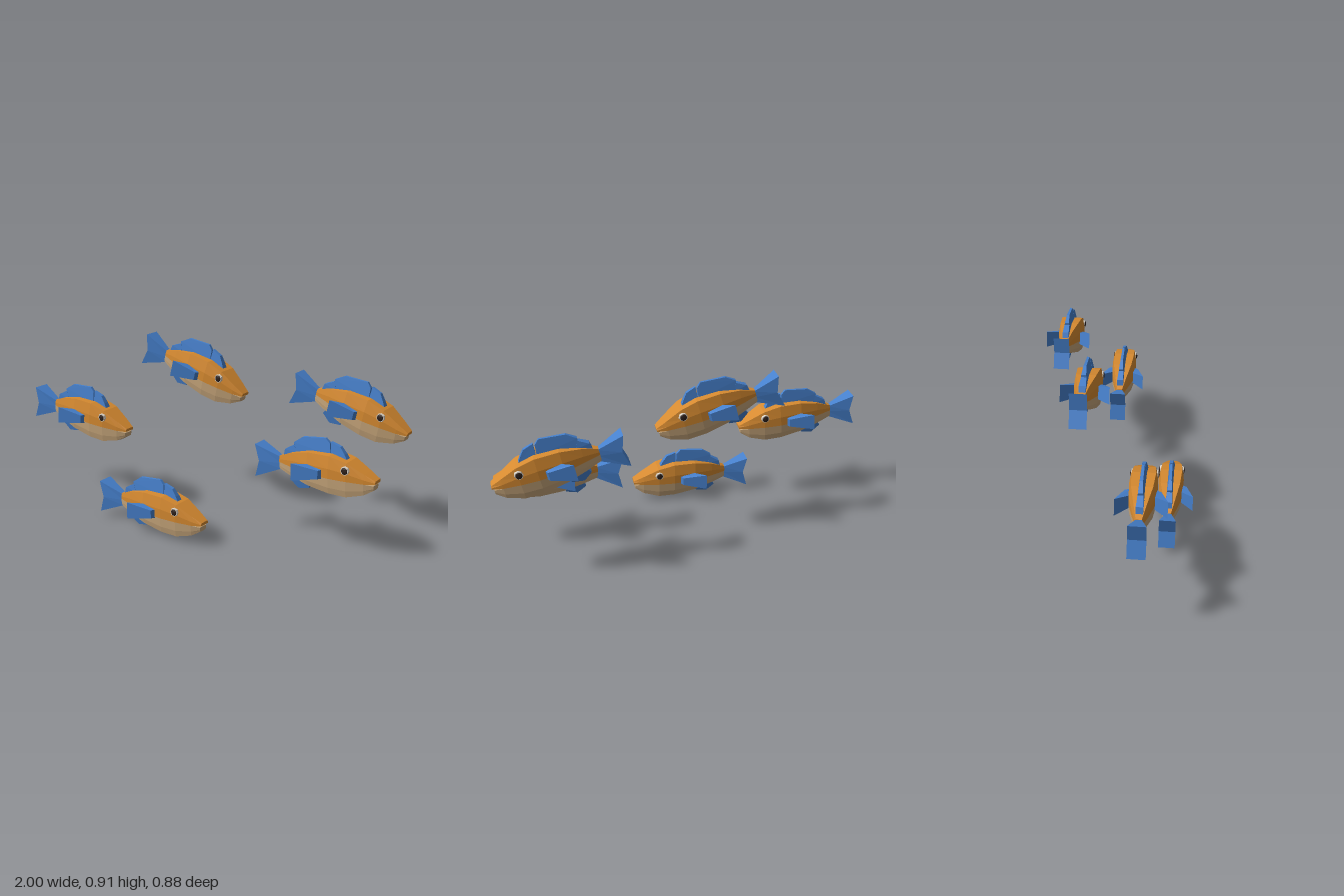
import * as THREE from 'three';

const mat = (color) => new THREE.MeshStandardMaterial({ color, flatShading: true });
const ORANGE = mat(0xd68a30), TAN = mat(0xc6a57a), BLUE = mat(0x4680cc);
const WHITE = mat(0xd8d0c4), DARK = mat(0x2e211c);

function add(group, name, geometry, material) {
  const mesh = new THREE.Mesh(geometry, material);
  mesh.name = name;
  group.add(mesh);
  return mesh;
}

// Faceted closed solid through rings of [x, y, z] that run along +x
function loft(rings) {
  const out = [];
  const tri = (...pts) => pts.forEach((p) => out.push(...p));
  const n = rings[0].length;
  for (let i = 0; i < rings.length - 1; i++) {
    for (let j = 0; j < n; j++) {
      const k = (j + 1) % n, r = rings[i], s = rings[i + 1];
      tri(r[j], r[k], s[k]);
      tri(r[j], s[k], s[j]);
    }
  }
  const first = rings[0], last = rings[rings.length - 1];
  for (let j = 1; j < n - 1; j++) {
    tri(first[0], first[j + 1], first[j]);
    tri(last[0], last[j], last[j + 1]);
  }
  const g = new THREE.BufferGeometry();
  g.setAttribute('position', new THREE.Float32BufferAttribute(out, 3));
  g.computeVertexNormals();
  return g;
}

// Upright fin plate in the xy plane, its half thickness set by height
function plate(points, halfThickness) {
  const shape = new THREE.Shape(points.map((p) => new THREE.Vector2(...p)));
  const g = new THREE.ExtrudeGeometry(shape, { depth: 2, bevelEnabled: false });
  const pos = g.attributes.position;
  for (let i = 0; i < pos.count; i++) {
    pos.setZ(i, (pos.getZ(i) - 1) * halfThickness(pos.getY(i)));
  }
  g.computeVertexNormals();
  return g;
}

// Body stations: x, top, seam, bottom, half width
const STATIONS = [
  [-0.209, 0.045, 0.014, -0.022, 0.016],
  [-0.13, 0.08, 0.008, -0.044, 0.037],
  [-0.03, 0.106, 0.002, -0.066, 0.06],
  [0.09, 0.11, 0, -0.083, 0.068],
  [0.18, 0.089, 0, -0.086, 0.062],
  [0.265, 0.045, -0.002, -0.062, 0.044],
  [0.318, 0.017, 0.002, -0.032, 0.029],
];

function createFish() {
  const fish = new THREE.Group();

  // Back and belly halves meet at the seam and part at the mouth
  const back = STATIONS.map(([x, top, mid, , w]) => {
    const half = [[top, 0.84 * w], [mid + 0.45 * (top - mid), w], [mid, w]];
    return [...half.map(([y, z]) => [x, y, z]), ...half.reverse().map(([y, z]) => [x, y, -z])];
  });
  const belly = STATIONS.map(([x, , mid, bottom, w], i) => {
    const jaw = i === STATIONS.length - 1;
    const px = jaw ? x - 0.009 : x, top = jaw ? -0.008 : mid, hw = jaw ? 0.026 : w;
    const half = [[top, hw], [top + 0.55 * (bottom - top), 0.96 * hw], [top + 0.93 * (bottom - top), 0.86 * hw]];
    return [...half.map(([y, z]) => [px, y, z]), [px, bottom, 0], ...half.reverse().map(([y, z]) => [px, y, -z])];
  });
  add(fish, 'back', loft(back), ORANGE);
  add(fish, 'belly', loft(belly), TAN);

  // Forked tail in two wedges that flare backwards
  const cy = 0.008;
  const box = (x0, y0, x1, y1, w) => [[x0, y0, w], [x1, y1, w], [x1, y1, -w], [x0, y0, -w]];
  add(fish, 'upperTail', loft([
    box(-0.335, cy + 0.085, -0.312, cy, 0.042), box(-0.2, cy + 0.032, -0.2, cy, 0.013)]), BLUE);
  add(fish, 'lowerTail', loft([
    box(-0.312, cy, -0.335, cy - 0.085, 0.042), box(-0.2, cy, -0.2, cy - 0.03, 0.013)]), BLUE);

  // Three-part dorsal fin, thinner towards its top edge
  const dorsal = [
    [[-0.185, 0.045], [-0.175, 0.088], [-0.125, 0.118], [-0.108, 0.08]],
    [[-0.115, 0.07], [-0.128, 0.13], [-0.08, 0.164], [0.045, 0.178], [0.068, 0.155], [0.074, 0.1]],
    [[0.076, 0.09], [0.075, 0.164], [0.125, 0.148], [0.15, 0.115], [0.168, 0.085]],
  ];
  const taper = (y) => THREE.MathUtils.clamp(0.017 - (y - 0.09) * 0.13, 0.006, 0.017);
  dorsal.forEach((p, i) => add(fish, 'dorsalFin' + (i + 1), plate(p, taper), BLUE));

  // Small fin under the rear belly
  add(fish, 'analFin', plate(
    [[-0.13, -0.035], [-0.148, -0.065], [-0.105, -0.106], [-0.045, -0.094], [-0.03, -0.05]],
    (y) => THREE.MathUtils.clamp(0.02 + (y + 0.04) * 0.25, 0.004, 0.02)), BLUE);

  for (const side of [1, -1]) {
    const label = side > 0 ? 'left' : 'right';

    // Side fin: tall at the swept-back tip, short at the leading edge
    const rings = [
      [[-0.08, 0.062, 0.122], [-0.08, -0.026, 0.122], [-0.015, -0.016, 0.05], [-0.015, 0.048, 0.05]],
      [[0.045, 0.037, 0.085], [0.045, -0.006, 0.085], [0.06, -0.008, 0.055], [0.06, 0.038, 0.055]],
    ].map((r) => (side > 0 ? r : r.map(([x, y, z]) => [x, y, -z]).reverse()));
    add(fish, label + 'SideFin', loft(rings), BLUE);

    // Eye: pale ring with a dark domed pupil
    const ring = add(fish, label + 'EyeRing',
      new THREE.CylinderGeometry(0.021, 0.027, 0.025, 8).rotateX(side * Math.PI / 2), WHITE);
    ring.position.set(0.176, 0.053, side * 0.052);
    const pupil = add(fish, label + 'Pupil',
      new THREE.SphereGeometry(0.018, 8, 6).scale(1, 1, 0.4), DARK);
    pupil.position.set(0.176, 0.053, side * 0.063);
  }
  return fish;
}

// Shoal: x, y, z and pitch in degrees
const SHOAL = [
  [-0.666, 0.475, 0.205, -4],
  [-0.144, 0.736, -0.113, -14],
  [0.677, 0.62, -0.315, -11.5],
  [0.666, 0.393, -0.005, 2],
  [-0.096, 0.107, 0.318, 0],
];

export function createModel() {
  const model = new THREE.Group();
  model.name = 'shoal';
  SHOAL.forEach(([x, y, z, pitch], i) => {
    const fish = createFish();
    fish.name = 'fish' + (i + 1);
    fish.position.set(x, y, z);
    fish.rotation.z = THREE.MathUtils.degToRad(pitch);
    model.add(fish);
  });
  return model;
}
